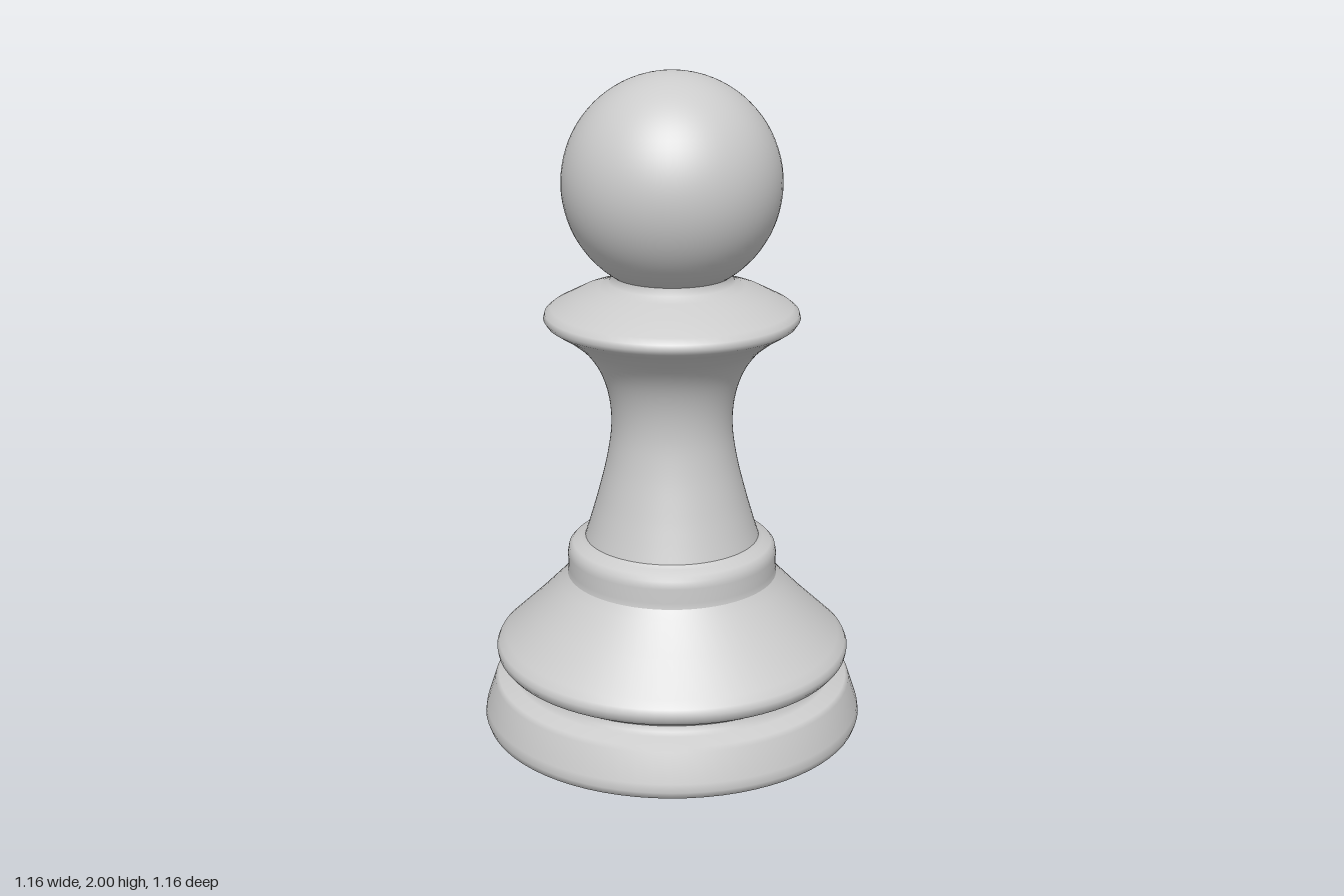
import * as THREE from 'three';

const material = new THREE.MeshStandardMaterial({ color: 0xcccccc });

// Turn a [radius, height] profile (listed bottom to top) around the y axis
function turned(name, profile, smoothSteps = 0) {
  let points = profile.map(([r, y]) => new THREE.Vector2(r, y));
  if (smoothSteps) points = new THREE.SplineCurve(points).getPoints(smoothSteps);
  const mesh = new THREE.Mesh(new THREE.LatheGeometry(points, 72), material);
  mesh.name = name;
  return mesh;
}

export function createModel() {
  const group = new THREE.Group();
  group.name = 'chessPawn';

  // Domed hollow under the base, from its centre out to the rim
  const hollow = [];
  const rimRadius = 0.4, depth = 0.24;
  const domeRadius = (rimRadius ** 2 + depth ** 2) / (2 * depth);
  const domeAngle = Math.asin(rimRadius / domeRadius);
  for (let i = 0; i <= 14; i++) {
    const a = (domeAngle * i) / 14;
    hollow.push([domeRadius * Math.sin(a), 0.01 + depth - domeRadius * (1 - Math.cos(a))]);
  }

  // Foot with rounded bottom edge and a groove above it
  group.add(turned('foot', [
    ...hollow, [0.42, 0.003], [0.46, 0], [0.55, 0.005], [0.571, 0.015], [0.578, 0.035],
    [0.574, 0.06], [0.546, 0.145], [0.535, 0.157], [0.49, 0.168], [0.48, 0.178], [0.475, 0.195],
  ]));

  // Sloping skirt
  group.add(turned('skirt', [
    [0.475, 0.195], [0.487, 0.207], [0.523, 0.222], [0.535, 0.237], [0.538, 0.255],
    [0.531, 0.272], [0.51, 0.292], [0.42, 0.378], [0.34, 0.46], [0.318, 0.488],
  ]));

  // Ring at the foot of the stem
  group.add(turned('stemRing', [
    [0.318, 0.488], [0.315, 0.505], [0.316, 0.55], [0.312, 0.572], [0.3, 0.586], [0.275, 0.595], [0.262, 0.605],
  ]));

  // Waisted stem
  group.add(turned('stem', [
    [0.262, 0.605], [0.245, 0.66], [0.222, 0.74], [0.195, 0.85], [0.181, 0.95],
    [0.187, 1.04], [0.212, 1.12], [0.255, 1.185], [0.31, 1.232], [0.35, 1.258],
  ], 40));

  // Flared collar and neck
  group.add(turned('collar', [
    [0.35, 1.258], [0.368, 1.27], [0.377, 1.284], [0.373, 1.3], [0.355, 1.315],
    [0.28, 1.354], [0.215, 1.376], [0.185, 1.39], [0.173, 1.41], [0.178, 1.425],
  ]));

  // Ball head
  const head = new THREE.Mesh(new THREE.SphereGeometry(0.32, 64, 40), material);
  head.name = 'head';
  head.position.y = 1.68;
  group.add(head);

  return group;
}
